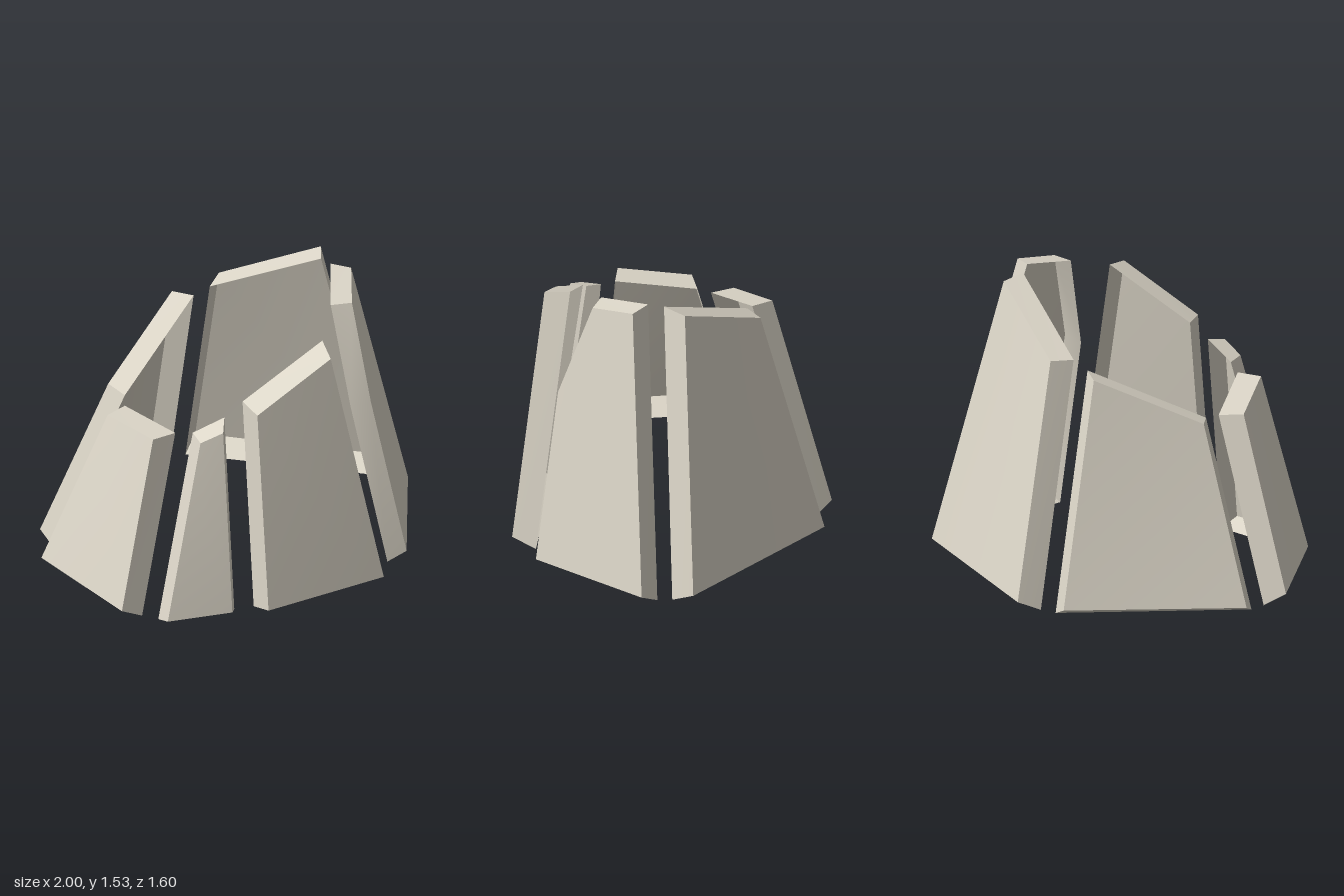
import * as THREE from 'three';
import { toCreasedNormals } from 'three/addons/utils/BufferGeometryUtils.js';

// Leaning hollow slab, open towards the middle of the ring: an outer face with a
// rim running to the inner outline. Corners are counter-clockwise seen from outside.
function slab(name, outer, inner, material) {
  const pos = [];
  const n = outer.length;
  const centre = [0, 1, 2].map((k) => outer.reduce((sum, p) => sum + p[k], 0) / n);
  for (let i = 0; i < n; i++) {
    const j = (i + 1) % n;
    pos.push(...centre, ...outer[i], ...outer[j]);
    pos.push(...outer[i], ...inner[i], ...inner[j]);
    pos.push(...outer[i], ...inner[j], ...outer[j]);
  }
  const geometry = new THREE.BufferGeometry();
  geometry.setAttribute('position', new THREE.Float32BufferAttribute(pos, 3));
  const mesh = new THREE.Mesh(toCreasedNormals(geometry, 0.3), material);
  mesh.name = name;
  return mesh;
}

export function createModel() {
  const model = new THREE.Group();
  model.name = 'slabRing';
  const stone = new THREE.MeshStandardMaterial({ color: 0xdcd6c8, side: THREE.DoubleSide });
  stone.name = 'pale stone';

  // Corners run bottom left, bottom right, top right, top left
  const slabs = {
    frontLeftSlab: [
      [[-0.09, 0.045, 0.797], [0.565, 0.045, 0.73], [0.32, 1.38, 0.617], [-0.093, 1.155, 0.65]],
      [[-0.122, 0, 0.672], [0.583, 0, 0.602], [0.327, 1.405, 0.482], [-0.122, 1.165, 0.517]],
    ],
    // tallest slab, with a bent front edge
    leftSlab: [
      [[0.755, 0.05, 0.563], [1, 0.055, -0.043], [0.64, 1.52, 0.085], [0.555, 1.472, 0.313], [0.59, 0.965, 0.485]],
      [[0.655, 0, 0.55], [0.92, 0, -0.107], [0.55, 1.53, 0.025], [0.447, 1.472, 0.293], [0.487, 0.945, 0.468]],
    ],
    backLeftSlab: [
      [[0.925, 0.055, -0.295], [0.137, 0.055, -0.8], [0.135, 1.262, -0.466], [0.575, 1.503, -0.172]],
      [[0.9, 0, -0.18], [0.05, 0, -0.715], [0.05, 1.255, -0.378], [0.53, 1.515, -0.053]],
    ],
    backRightSlab: [
      [[-0.12, 0.055, -0.78], [-0.91, 0.055, -0.29], [-0.588, 0.955, -0.163], [-0.12, 1.21, -0.47]],
      [[-0.035, 0, -0.713], [-0.877, 0, -0.182], [-0.54, 0.94, -0.055], [-0.035, 1.217, -0.385]],
    ],
    rightSlab: [
      [[-1, 0.06, -0.043], [-0.793, 0.06, 0.55], [-0.58, 0.995, 0.44], [-0.685, 0.94, 0.077]],
      [[-0.905, 0, -0.105], [-0.68, 0, 0.543], [-0.453, 0.995, 0.425], [-0.57, 0.933, 0.022]],
    ],
    frontRightSlab: [
      [[-0.602, 0.045, 0.702], [-0.267, 0.045, 0.745], [-0.267, 1.07, 0.617], [-0.378, 1.015, 0.585]],
      [[-0.615, 0, 0.602], [-0.223, 0, 0.66], [-0.223, 1.095, 0.522], [-0.38, 1.015, 0.482]],
    ],
  };
  for (const [name, [outer, inner]] of Object.entries(slabs)) {
    model.add(slab(name, outer, inner, stone));
  }
  return model;
}
